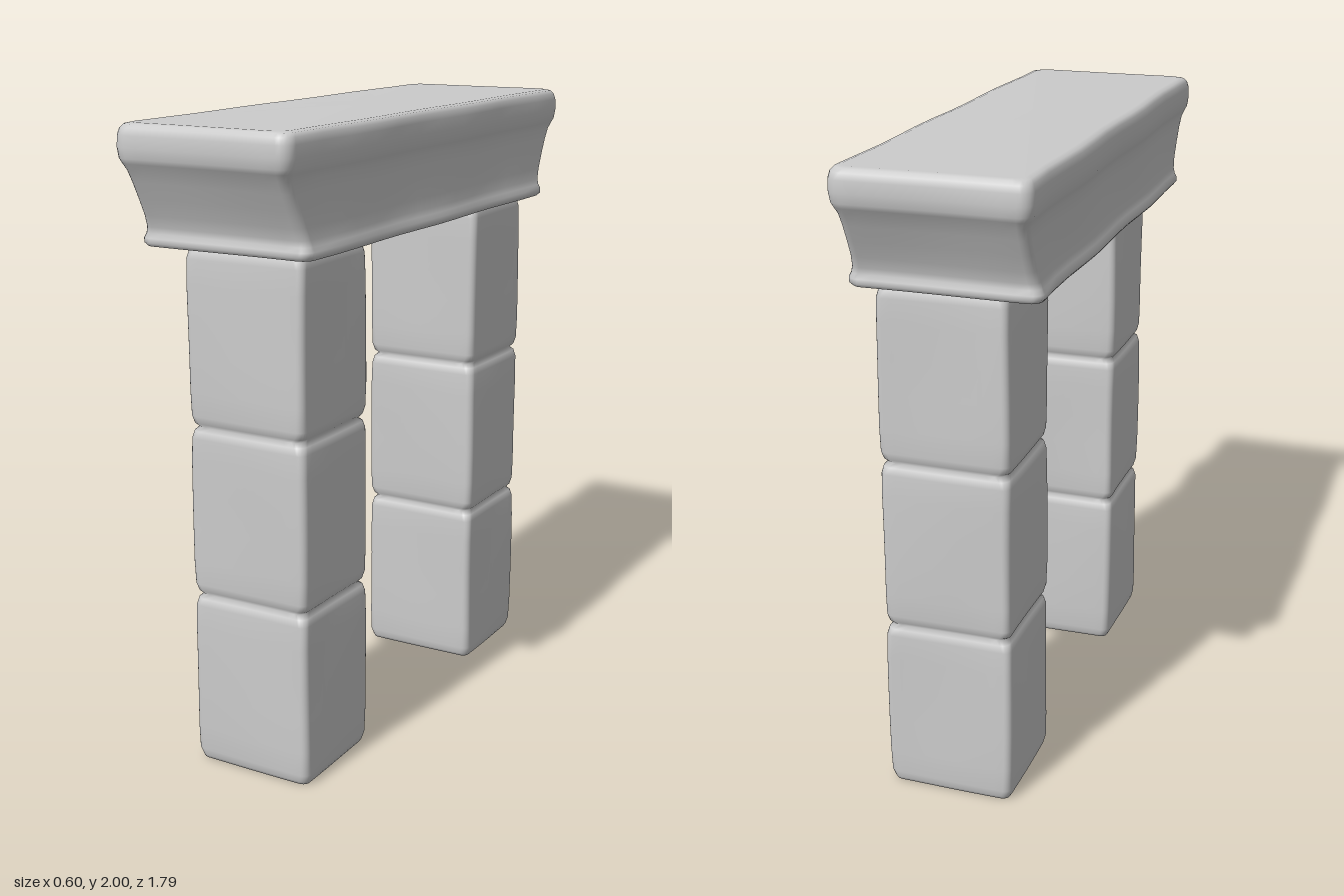
import * as THREE from 'three';

const ARC = 5;    // steps around each corner
const SIDE = 12;  // steps along each straight side

// Unit directions round a rounded rectangle: corner centre signs plus arc offset.
function ring(hx, hz, r) {
  r = Math.min(r, hx, hz);
  const corners = [[1, 1], [-1, 1], [-1, -1], [1, -1]].map(([sx, sz], k) => {
    const pts = [];
    for (let i = 0; i <= ARC; i++) {
      const a = (k + i / ARC) * Math.PI / 2;
      pts.push([sx * (hx - r) + r * Math.cos(a), sz * (hz - r) + r * Math.sin(a)]);
    }
    return pts;
  });
  const out = [];
  corners.forEach((pts, k) => {
    out.push(...pts);
    const a = pts[ARC], b = corners[(k + 1) % 4][0];
    for (let i = 1; i < SIDE; i++) {
      const t = i / SIDE;
      out.push([a[0] + (b[0] - a[0]) * t, a[1] + (b[1] - a[1]) * t]);
    }
  });
  return out;
}

// Skin stacked rounded rectangles [y, halfX, halfZ, cornerRadius], closed at both ends.
function loft(levels, wobble) {
  const first = levels[0], last = levels[levels.length - 1];
  const all = [[first[0], 0, 0, 0], ...levels, [last[0], 0, 0, 0]];
  const pos = [], index = [];
  let n = 0;
  all.forEach(([y, hx, hz, r]) => {
    const pts = ring(hx, hz, r);
    n = pts.length;
    pts.forEach(([x, z]) => pos.push(...wobble(x, y, z)));
  });
  for (let j = 0; j < all.length - 1; j++) {
    for (let i = 0; i < n; i++) {
      const a = j * n + i, b = j * n + (i + 1) % n;
      index.push(a, a + n, b, b, a + n, b + n);
    }
  }
  const geo = new THREE.BufferGeometry();
  geo.setAttribute('position', new THREE.Float32BufferAttribute(pos, 3));
  geo.setIndex(index);
  geo.computeVertexNormals();
  return geo;
}

// Three worn blocks stacked into one pillar, pinched at each joint.
function pillarGeometry(phase) {
  const hx = 0.203, hz = 0.189;
  const joints = [0, 0.555, 1.09, 1.635];
  const levels = [[0, hx - 0.022, hz - 0.022, 0.02], [0.002, hx - 0.012, hz - 0.012, 0.022]];
  for (let k = 0; k < 3; k++) {
    const y0 = joints[k], y1 = joints[k + 1], h = y1 - y0;
    if (k > 0) levels.push([y0, hx - 0.016, hz - 0.016, 0.034]);
    levels.push([y0 + 0.012, hx - 0.006, hz - 0.007, 0.028]);
    levels.push([y0 + 0.035, hx - 0.001, hz - 0.002, 0.024]);
    for (const t of [0.2, 0.4, 0.6, 0.8]) levels.push([y0 + h * t, hx, hz, 0.022]);
    levels.push([y1 - 0.035, hx - 0.001, hz - 0.001, 0.024]);
    levels.push([y1 - 0.012, hx - 0.006, hz - 0.005, 0.028]);
  }
  levels.push([1.633, hx - 0.012, hz - 0.012, 0.022], [1.635, hx - 0.022, hz - 0.022, 0.02]);
  return loft(levels, (x, y, z) => [
    x * (1 + 0.012 * Math.sin(y * 7 + z * 9 + phase)),
    y,
    z * (1 + 0.012 * Math.sin(y * 6 + x * 8 + phase * 2)),
  ]);
}

// Flared capping slab: narrow foot moulding, hollow flank, thick rounded rim.
function lintelGeometry() {
  const levels = [
    [1.635, 0.265, 0.765, 0.03], [1.638, 0.281, 0.783, 0.035], [1.648, 0.289, 0.79, 0.035],
    [1.662, 0.289, 0.79, 0.035], [1.676, 0.282, 0.783, 0.03], [1.695, 0.277, 0.785, 0.03],
    [1.73, 0.274, 0.798, 0.03], [1.78, 0.273, 0.822, 0.03], [1.83, 0.273, 0.847, 0.03],
    [1.865, 0.276, 0.865, 0.032], [1.885, 0.283, 0.879, 0.036], [1.9, 0.29, 0.887, 0.04],
    [1.93, 0.294, 0.891, 0.042], [1.965, 0.293, 0.89, 0.042], [1.985, 0.288, 0.885, 0.042],
    [1.996, 0.279, 0.876, 0.042], [2.0, 0.262, 0.86, 0.04],
  ];
  return loft(levels, (x, y, z) => [
    x * (1 + 0.014 * Math.sin(z * 10 + y * 5 + (x > 0 ? 0 : 2))),
    y,
    z * (1 + 0.003 * Math.sin(x * 9 + y * 6)),
  ]);
}

export function createModel() {
  const group = new THREE.Group();
  const stone = new THREE.MeshStandardMaterial({ color: 0xcccccc });
  const add = (name, geo, x, z) => {
    const mesh = new THREE.Mesh(geo, stone);
    mesh.name = name;
    mesh.position.set(x, 0, z);
    group.add(mesh);
  };

  add('frontPillar', pillarGeometry(0.4), 0.025, 0.54);
  add('backPillar', pillarGeometry(1.1), 0.025, -0.558);
  add('lintel', lintelGeometry(), 0, 0);
  return group;
}
